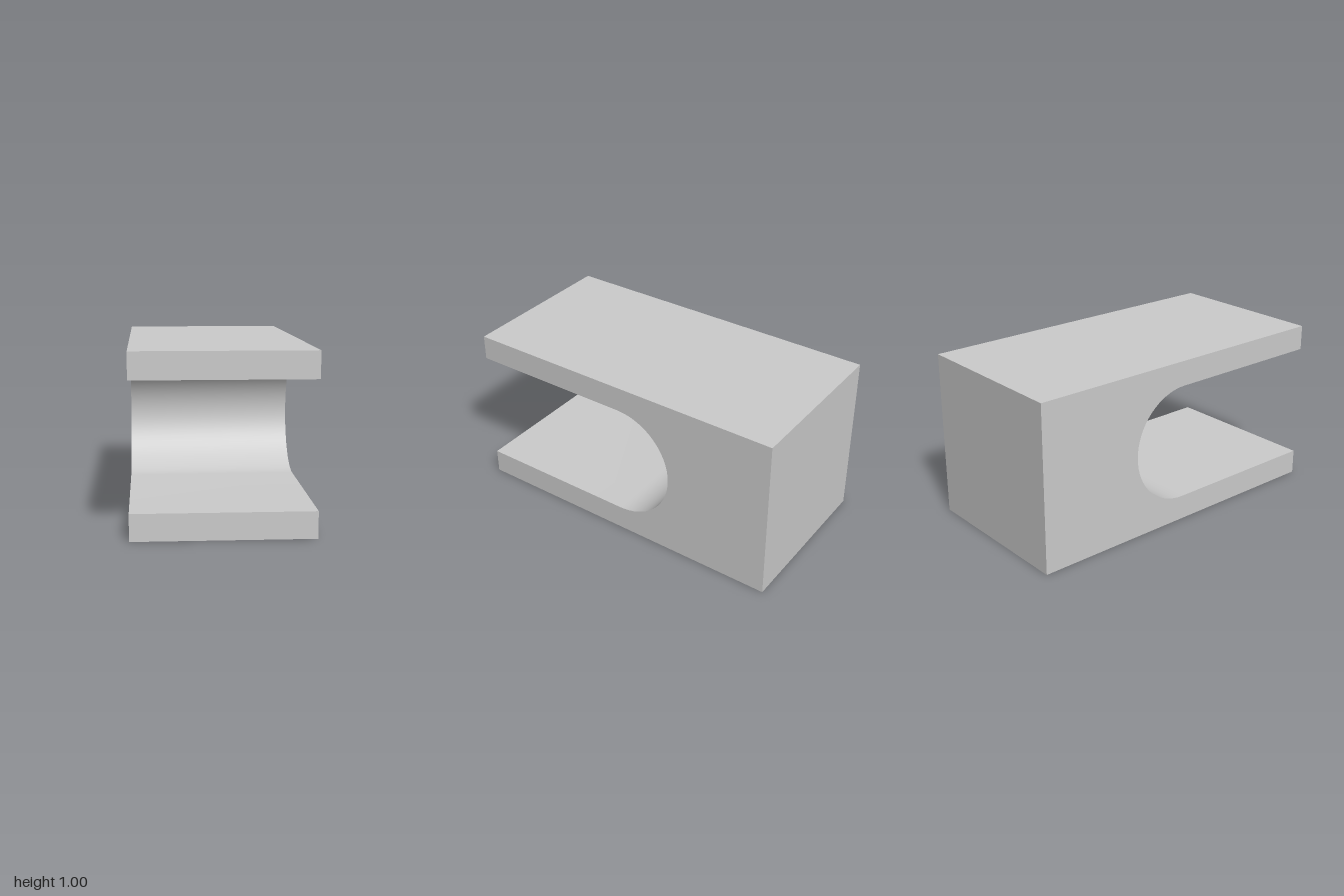
import * as THREE from 'three';
import { toCreasedNormals } from 'three/addons/utils/BufferGeometryUtils.js';

const WIDTH = 1, HEIGHT = 1, HALF_LENGTH = 1, SLOT_RADIUS = 0.35;

export function createModel() {
  const group = new THREE.Group();
  group.name = 'slottedBlock';
  const mid = HEIGHT / 2;

  // Side profile: a block with a round-ended slot open to the front (profile x is -z)
  const profile = new THREE.Shape();
  profile.moveTo(-HALF_LENGTH, 0);
  profile.lineTo(HALF_LENGTH, 0);
  profile.lineTo(HALF_LENGTH, HEIGHT);
  profile.lineTo(-HALF_LENGTH, HEIGHT);
  profile.lineTo(-HALF_LENGTH, mid + SLOT_RADIUS);
  profile.absarc(0, mid, SLOT_RADIUS, Math.PI / 2, -Math.PI / 2, true);
  profile.lineTo(-HALF_LENGTH, mid - SLOT_RADIUS);
  profile.closePath();

  // Extrude across the width, then turn the slot to face +z
  const geometry = new THREE.ExtrudeGeometry(profile, {
    depth: WIDTH, bevelEnabled: false, curveSegments: 16,
  });
  geometry.translate(0, 0, -WIDTH / 2);
  geometry.rotateY(Math.PI / 2);

  const block = new THREE.Mesh(
    toCreasedNormals(geometry, 0.5),
    new THREE.MeshStandardMaterial({ color: 0xcccccc }),
  );
  block.name = 'block';
  group.add(block);
  return group;
}
